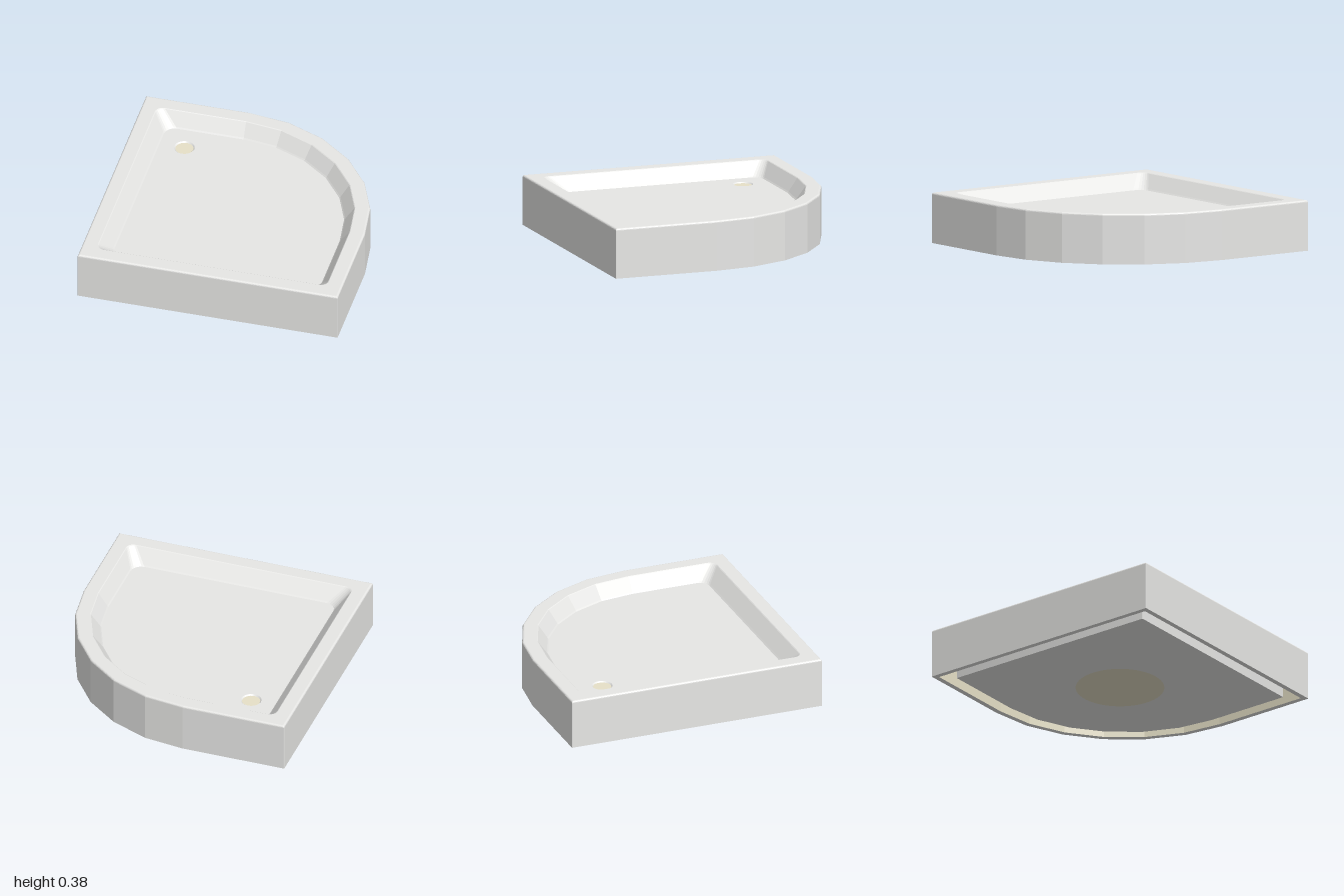
import * as THREE from 'three';
import { toCreasedNormals } from 'three/addons/utils/BufferGeometryUtils.js';

const HEIGHT = 0.38, FLOOR = 0.27, GROOVE = 0.25;
const DRAIN = [-0.6, -0.6];

// Plan outline as [x, z] points: three square corners (rounded by q) and one faceted quarter curve
function outline(inset, q = 0.004, left = inset, front = inset) {
  const R = 1.2 - inset, l = -1 + left, r = 1 - inset, b = -1 + inset, f = 1 - front;
  const pts = [], N = 6;
  const arc = (cx, cz, rad, fx, fz) => {
    for (let i = 0; i <= N; i++) {
      const t = (i / N) * Math.PI / 2, c = Math.cos(t), s = Math.sin(t);
      pts.push([cx + rad * fx(c, s), cz + rad * fz(c, s)]);
    }
  };
  arc(l + q, b + q, q, (c) => -c, (c, s) => -s);
  arc(-0.2, 0.2, R, (c, s) => s, (c) => -c);
  arc(r - q, f - q, q, (c) => c, (c, s) => s);
  arc(l + q, f - q, q, (c, s) => -s, (c) => c);
  return pts;
}

// Skin between successive outlines, each given as { pts, y }
function loft(loops) {
  const pos = [];
  const put = (L, i) => pos.push(L.pts[i][0], L.y, L.pts[i][1]);
  for (let k = 0; k < loops.length - 1; k++) {
    const a = loops[k], b = loops[k + 1], n = a.pts.length;
    for (let i = 0; i < n; i++) {
      const j = (i + 1) % n;
      put(a, i); put(b, i); put(a, j);
      put(a, j); put(b, i); put(b, j);
    }
  }
  const g = new THREE.BufferGeometry();
  g.setAttribute('position', new THREE.Float32BufferAttribute(pos, 3));
  g.computeVertexNormals();
  return g;
}

function planShape(pts, hole) {
  const shape = new THREE.Shape(pts.map(([x, z]) => new THREE.Vector2(x, -z)));
  if (hole) shape.holes.push(new THREE.Path().absarc(hole[0], -hole[1], hole[2], 0, Math.PI * 2, true));
  return shape;
}

export function createModel() {
  const white = new THREE.MeshStandardMaterial({ color: 0xe8e8e6 });
  white.name = 'white enamel';
  const beige = new THREE.MeshStandardMaterial({ color: 0xe8e2c9 });
  beige.name = 'beige lining';

  const group = new THREE.Group();
  group.name = 'showerTray';
  const add = (name, geo, mat, x = 0, y = 0, z = 0) => {
    const m = new THREE.Mesh(geo, mat);
    m.name = name;
    m.position.set(x, y, z);
    group.add(m);
    return m;
  };

  // Shell: bottom lip, outer wall, rounded rim and sloping basin wall
  const loops = [{ pts: outline(0.04), y: 0 }, { pts: outline(0), y: 0 }];
  const bevel = 0.015;
  for (let i = 0; i <= 4; i++) {
    const t = (i / 4) * Math.PI / 2;
    loops.push({ pts: outline(bevel * (1 - Math.cos(t))), y: HEIGHT - bevel * (1 - Math.sin(t)) });
  }
  const floorPts = outline(0.195, 0.08, 0.21, 0.215);
  loops.push(
    { pts: outline(0.112, 0.06), y: HEIGHT },
    { pts: outline(0.118, 0.06), y: HEIGHT - 0.004 },
    { pts: outline(0.186, 0.078, 0.2, 0.205), y: FLOOR + 0.01 },
    { pts: floorPts, y: FLOOR },
  );
  add('shell', loft(loops), white);

  // Basin floor with the drain opening
  const floor = new THREE.ShapeGeometry(planShape(floorPts, [...DRAIN, 0.077]), 32);
  floor.rotateX(-Math.PI / 2);
  add('basinFloor', floor, white, 0, FLOOR, 0);

  // Drain seat and cover
  const seat = new THREE.LatheGeometry(
    [new THREE.Vector2(0.077, FLOOR), new THREE.Vector2(0.067, FLOOR - 0.01)], 32);
  add('drainSeat', seat, white, DRAIN[0], 0, DRAIN[1]);
  const cover = new THREE.CircleGeometry(0.068, 32).rotateX(-Math.PI / 2);
  add('drainCover', cover, beige, DRAIN[0], FLOOR - 0.009, DRAIN[1]);

  // Lining on the inside of the shell, seen from below
  const inner = outline(0.04);
  add('shellLining', loft([{ pts: inner, y: GROOVE }, { pts: inner, y: 0 }]), beige);
  const ceiling = new THREE.ShapeGeometry(planShape(inner.map(([x, z]) => [x, -z])));
  ceiling.rotateX(Math.PI / 2);
  add('grooveCeiling', ceiling, beige, 0, GROOVE, 0);

  // Base block with a round service well
  const block = new THREE.ExtrudeGeometry(planShape(outline(0.134), [0, 0, 0.33]), {
    depth: GROOVE - 0.003, bevelEnabled: false, curveSegments: 48,
  });
  block.rotateX(-Math.PI / 2);
  add('baseBlock', toCreasedNormals(block, 0.2), white);

  // Top of the well and its small round boss
  add('wellCeiling', new THREE.CircleGeometry(0.33, 48).rotateX(Math.PI / 2), beige, 0, 0.15, 0);
  add('wellBoss', new THREE.CylinderGeometry(0.09, 0.09, 0.008, 32), beige, 0, 0.147, 0);

  return group;
}
